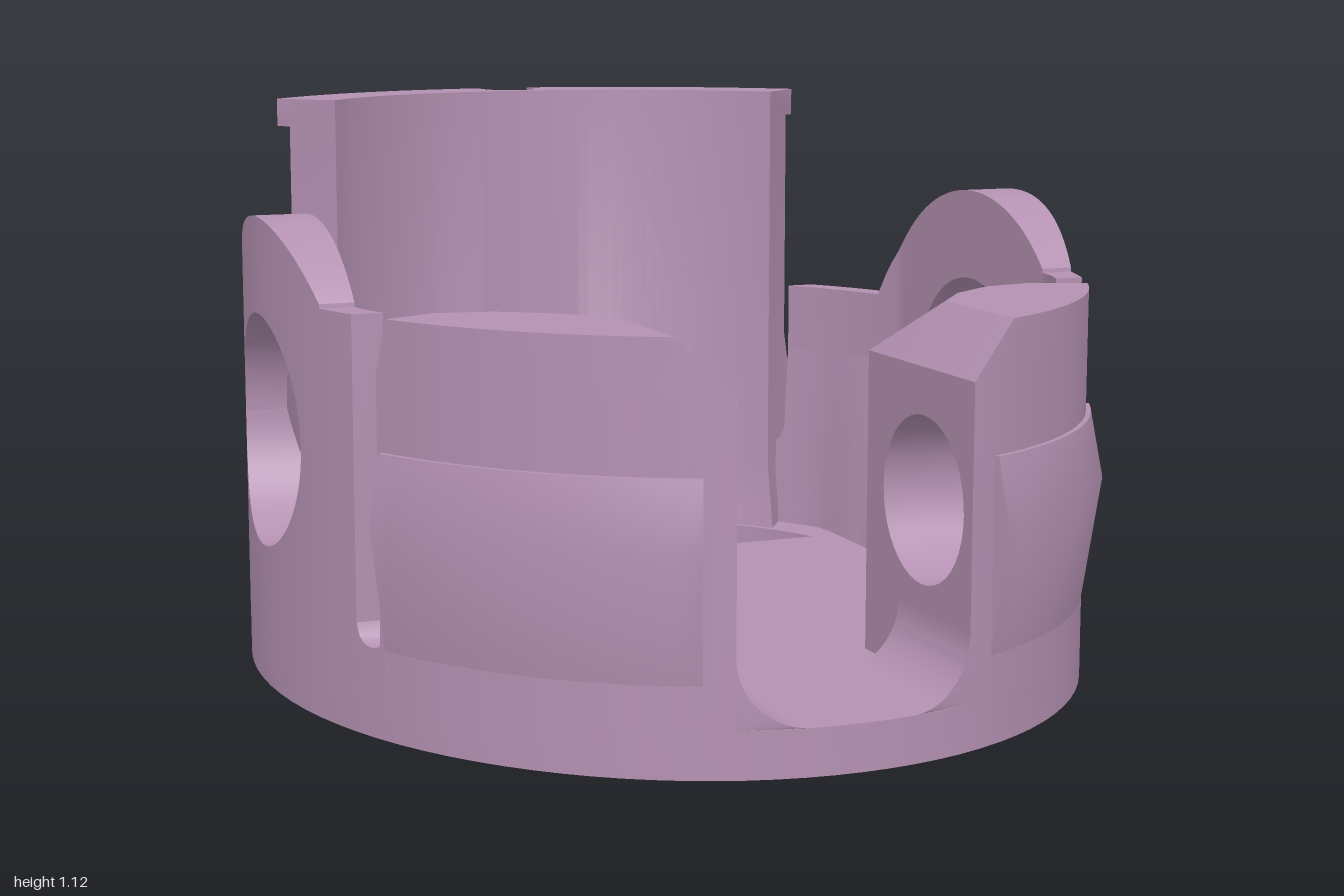
import * as THREE from 'three';
import { toCreasedNormals } from 'three/addons/utils/BufferGeometryUtils.js';

const RX = 0.84, RZ = 0.975, CZ = 0.025, FLOOR = 0.09;
const V = (x, y, z) => new THREE.Vector3(x, y, z);
const { clamp, lerp } = THREE.MathUtils;

// Points on the elliptical outline
const ellX = z => RX * Math.sqrt(Math.max(0, 1 - ((z - CZ) / RZ) ** 2));
const ellZ = x => RZ * Math.sqrt(Math.max(0, 1 - (x / RX) ** 2));
const ell = (t, y, off = 0) => {
  const nx = Math.cos(t) / RX, nz = Math.sin(t) / RZ, l = Math.hypot(nx, nz);
  return V(RX * Math.cos(t) + off * nx / l, y, CZ + RZ * Math.sin(t) + off * nz / l);
};
const range = (a, b, n) => Array.from({ length: n + 1 }, (_, i) => a + (b - a) * i / n);

// Skin a row of equal closed loops and cap both ends
function skin(loops, flat, skip = () => false) {
  const tris = [], n = loops[0].length, m = loops.length - 1;
  for (let j = 0; j < m; j++) for (let i = 0; i < n; i++) {
    if (skip(j, i)) continue;
    const k = (i + 1) % n, a = loops[j], b = loops[j + 1];
    tris.push([a[i], a[k], b[k]], [a[i], b[k], b[i]]);
  }
  for (const [loop, first] of [[loops[0], true], [loops[m], false]]) {
    const pts = loop.map(flat), cw = THREE.ShapeUtils.isClockWise(pts);
    for (const [a, b, c] of THREE.ShapeUtils.triangulateShape(pts, []))
      tris.push(cw !== first ? [loop[a], loop[c], loop[b]] : [loop[a], loop[b], loop[c]]);
  }
  // Face outward whichever way the loops run
  const mid = new THREE.Box3().setFromPoints(loops.flat()).getCenter(V(0, 0, 0));
  let vol = 0;
  for (const t of tris) {
    const [a, b, c] = t.map(p => p.clone().sub(mid));
    vol += a.dot(b.cross(c));
  }
  if (vol < 0) tris.forEach(t => t.reverse());
  const g = new THREE.BufferGeometry().setFromPoints(tris.flat());
  return toCreasedNormals(g, 0.5);
}
const flatXY = p => new THREE.Vector2(p.x, p.y);
const flatXZ = p => new THREE.Vector2(p.x, p.z);
const flatZY = p => new THREE.Vector2(p.z, p.y);

// Outer z of the rear notch, open to the back
const NOTCH = 0.06;
const notchZ = x => -0.92 + Math.sqrt(Math.max(0, NOTCH * NOTCH - x * x));

function floorGeometry() {
  const d = NOTCH / RX;
  const pts = range(-Math.PI / 2 + d, Math.PI * 1.5 - d, 96).map(t => {
    const p = ell(t, 0);
    return new THREE.Vector2(p.x, -p.z);
  });
  range(-NOTCH, NOTCH, 12).forEach(x => pts.push(new THREE.Vector2(x, -notchZ(x))));
  const shape = new THREE.Shape(pts);
  const a = Math.asin(0.24 / 0.618);
  shape.holes.push(new THREE.Path(range(a, Math.PI - a, 40).map(t =>
    new THREE.Vector2(0.618 * Math.cos(t), Math.min(0.72, 0.18 + 0.618 * Math.sin(t))))));
  const g = new THREE.ExtrudeGeometry(shape, { depth: FLOOR, bevelEnabled: false });
  return toCreasedNormals(g.rotateX(-Math.PI / 2), 0.5);
}

// Wall between two heights, one cross-section for each z
const innerX = (z, y) => lerp(Math.min(0.63, ellX(z) - 0.08), Math.min(0.73, ellX(z) - 0.06),
  clamp((y - FLOOR) / 0.42, 0, 1));
const wall = (zs, low, high) => skin(zs.map(z => [
  V(ellX(z), low(z), z), V(ellX(z), high(z), z),
  V(innerX(z, high(z)), high(z), z), V(innerX(z, low(z)), low(z), z),
]), flatXY);

// Rear wall with a rim, a belt that bulges, and the notch
function rearWall() {
  const section = (x, inNotch) => {
    const s = Math.abs(x), t = -Math.acos(x / RX);
    const ix = x * (0.52 / 0.6);
    const iz = -0.18 - Math.sqrt(0.65 ** 2 - ix ** 2);
    const w = clamp((0.2 - s) / 0.14, 0, 1);
    const out = (y, off) => inNotch ? V(x, y, notchZ(x)) : ell(t, y, off);
    return [
      V(ix, FLOOR, Math.max(iz + 0.03, -0.72)), V(ix, 0.14, Math.max(iz + 0.02, -0.76)),
      V(ix, 0.24, iz), V(ix, 1.12, iz),
      out(1.12, 0.03), out(1.06, 0.03), out(1.06, 0), out(0.54, 0.035 * w),
      out(0.42, 0.035 + 0.01 * w), out(0.17, 0), out(FLOOR, 0),
    ];
  };
  return skin([
    ...range(-0.6, -NOTCH, 22).map(x => section(x, false)),
    ...range(-NOTCH, NOTCH, 12).map(x => section(x, true)),
    ...range(NOTCH, 0.6, 22).map(x => section(x, false)),
  ], flatZY);
}

// Front block with a bevelled top; its channel face is left open for the pocket plate
function frontBlock() {
  const foot = [[0.23, 0.54], [0.325, 0.445], [0.42, 0.35], [0.58, 0.35]];
  const crown = [[0.33, 0.66], [0.41, 0.56], [0.51, 0.49], [0.62, 0.47]];
  const loop = (pts, y, t0, x1) => [
    ...pts.map(([x, z]) => V(x, y, z)),
    ...range(t0, Math.acos(x1 / RX), 18).map(t => ell(t, y)),
  ];
  const loops = [loop(foot, FLOOR, 0.5, 0.23), loop(foot, 0.68, 0.5, 0.23), loop(crown, 0.785, 0.53, 0.33)];
  return skin(loops, flatXZ, (j, i) => j === 0 && i === loops[0].length - 1);
}

const POCKET = { z: 0.77, y: 0.43, r: 0.16 };
function pocketPlate() {
  const z1 = CZ + ellZ(0.23);
  const s = new THREE.Shape([[0.54, FLOOR], [z1, FLOOR], [z1, 0.68], [0.54, 0.68]]
    .map(p => new THREE.Vector2(...p)));
  s.holes.push(new THREE.Path().absarc(POCKET.z, POCKET.y, POCKET.r, 0, Math.PI * 2, true));
  return new THREE.ShapeGeometry(s, 20).rotateY(-Math.PI / 2).translate(0.23, 0, 0);
}
function pocket() {
  const pts = [[0, 0], [POCKET.r * 0.5, 0], [POCKET.r, 0], [POCKET.r, 0.2]].map(p => new THREE.Vector2(...p));
  const g = new THREE.LatheGeometry(pts, 40).rotateZ(Math.PI / 2).translate(0.43, POCKET.y, POCKET.z);
  const p = g.attributes.position;
  // Keep the pocket floor inside the curved outer face
  for (let i = 0; i < p.count; i++) p.setX(i, Math.min(p.getX(i), Math.max(0.23, ellX(p.getZ(i)) - 0.03)));
  return toCreasedNormals(g, 0.6);
}

// Rounded lower corner of the front channel
function channelFillet() {
  const r = 0.13, s = new THREE.Shape();
  s.moveTo(0.23, FLOOR);
  s.lineTo(0.23, FLOOR + r);
  s.absarc(0.23 - r, FLOOR + r, r, 0, -Math.PI / 2, true);
  const g = new THREE.ExtrudeGeometry(s, { depth: 0.3, bevelEnabled: false, curveSegments: 10 });
  g.translate(0, 0, 0.68);
  const p = g.attributes.position;
  for (let i = 0; i < p.count; i++) if (p.getZ(i) > 0.8) p.setZ(i, CZ + ellZ(p.getX(i)));
  return toCreasedNormals(g, 0.5);
}

// Raised belt on the outside of a front block
const beltPanel = () => skin(range(0.515, 1.225, 16).map(t => [
  ell(t, 0.17, -0.02), ell(t, 0.17, 0), ell(t, 0.41, 0.035), ell(t, 0.54, 0.01), ell(t, 0.54, -0.02),
]), flatZY);

export function createModel() {
  const model = new THREE.Group();
  const mauve = new THREE.MeshStandardMaterial({ color: 0xb491b2, side: THREE.DoubleSide });
  mauve.name = 'mauve';
  const add = (parent, name, geometry) => {
    const mesh = new THREE.Mesh(geometry, mauve);
    mesh.name = name;
    parent.add(mesh);
  };
  add(model, 'floor', floorGeometry());
  add(model, 'rearWall', rearWall());

  // Ear: a disc outline around a round window
  const EZ = 0.02, EY = 0.51, R = 0.42, H = 0.23;
  const arc = (r, z) => Math.sqrt(Math.max(0, r * r - (z - EZ) ** 2));
  const top = z => z > 0.33 ? 0.785 : z < -0.371 ? 0.66 : EY + arc(R, z);
  const zs = [
    ...range(-0.6, -0.372, 5), ...range(-0.37, -0.22, 8),
    ...range(Math.PI, 0, 36).map(a => EZ + H * Math.cos(a)),
    ...range(0.26, 0.33, 4), 0.331, 0.38, 0.43,
  ];
  const slot = (z0, z1, y) => z => {
    const r = (z1 - z0) / 2;
    return y + r - Math.sqrt(Math.max(0, r * r - (z - (z0 + z1) / 2) ** 2));
  };

  for (const side of [1, -1]) {
    const half = new THREE.Group();
    half.name = side > 0 ? 'leftSide' : 'rightSide';
    half.scale.x = side;
    add(half, 'sideWallLower', wall(zs, () => FLOOR, z => EY - arc(H, z)));
    add(half, 'sideWallUpper', wall(zs, z => EY + arc(H, z), top));
    add(half, 'frontSlotSill', wall(range(0.43, 0.51, 10), () => FLOOR, slot(0.43, 0.51, 0.17)));
    add(half, 'rearSlotSill', wall(range(-0.68, -0.6, 10), () => FLOOR, slot(-0.68, -0.6, 0.28)));
    add(half, 'frontBlock', frontBlock());
    add(half, 'pocketPlate', pocketPlate());
    add(half, 'pocket', pocket());
    add(half, 'channelFillet', channelFillet());
    add(half, 'beltPanel', beltPanel());
    model.add(half);
  }
  return model;
}
